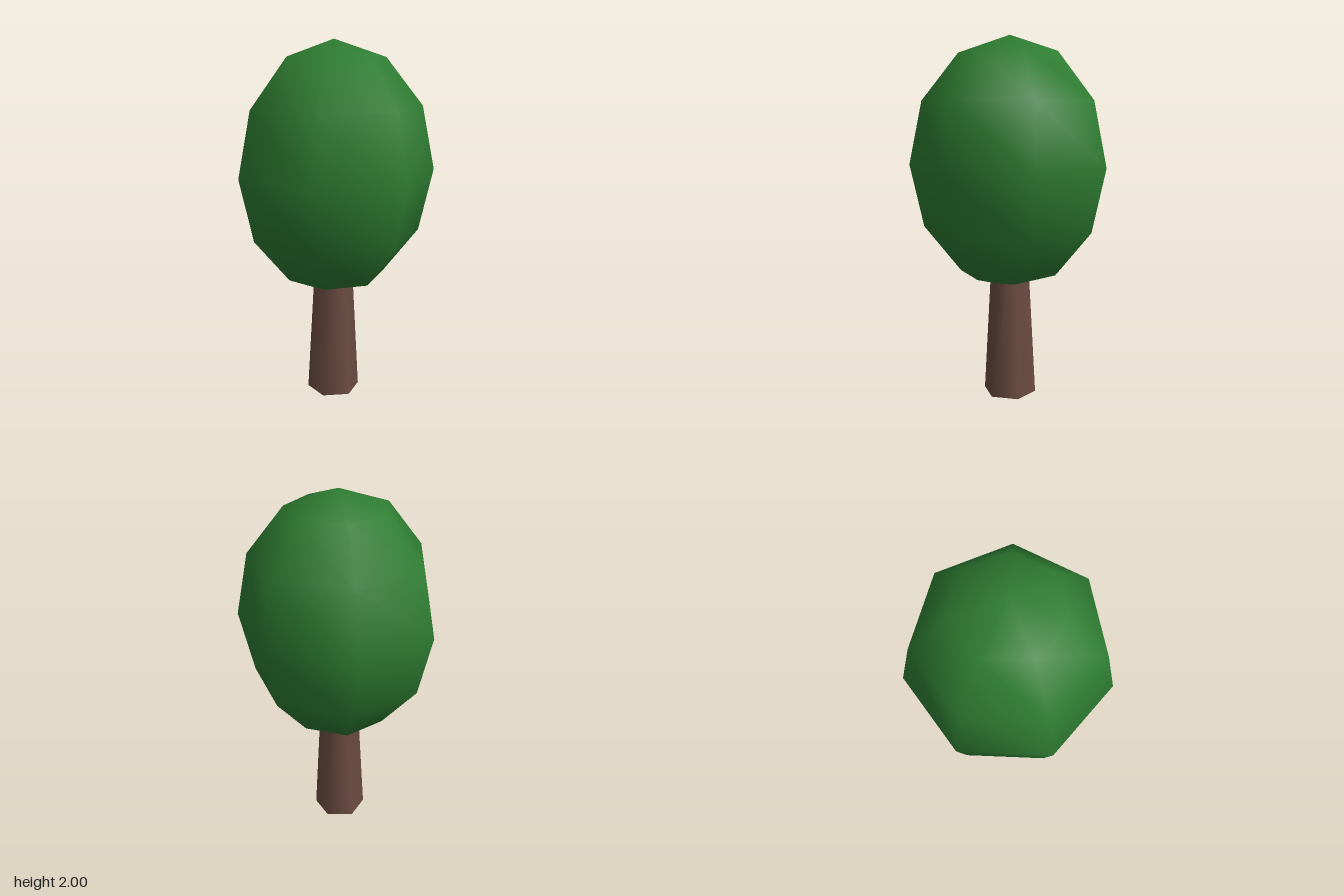
import * as THREE from 'three';

const CENTRE_X = 0.027;

function part(name, geometry, color, y) {
  const mesh = new THREE.Mesh(geometry, new THREE.MeshStandardMaterial({ color }));
  mesh.name = name;
  mesh.position.set(CENTRE_X, y, 0);
  return mesh;
}

export function createModel() {
  const tree = new THREE.Group();
  tree.name = 'tree';

  // Tapered six-sided trunk, its top hidden inside the crown
  const trunkHeight = 0.88;
  const trunk = new THREE.CylinderGeometry(0.1, 0.15, trunkHeight, 6);
  tree.add(part('trunk', trunk, 0x6d4c41, trunkHeight / 2));

  // Seven-sided egg-shaped crown
  const crown = new THREE.SphereGeometry(1, 7, 6).scale(0.552, 0.69, 0.552);
  tree.add(part('crown', crown, 0x2e7d32, 1.31));

  return tree;
}
